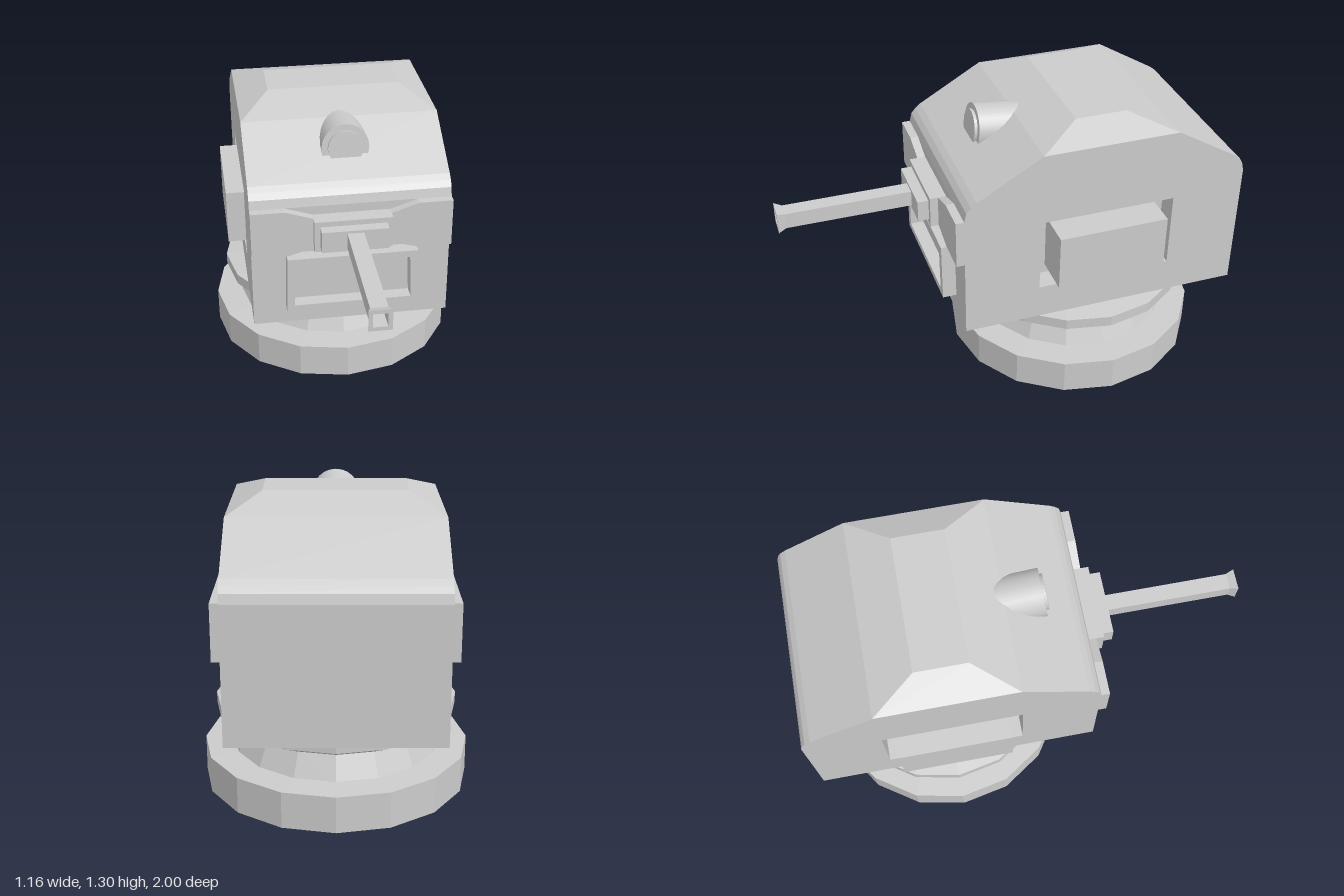
import * as THREE from 'three';

const material = new THREE.MeshStandardMaterial({ color: 0xcccccc, flatShading: true });
const smooth = new THREE.MeshStandardMaterial({ color: 0xcccccc });
const points = (list) => list.map(([x, y]) => new THREE.Vector2(x, y));

export function createModel() {
  const model = new THREE.Group();
  model.name = 'turret';

  const add = (name, geometry, mat = material) => {
    const mesh = new THREE.Mesh(geometry, mat);
    mesh.name = name;
    model.add(mesh);
    return mesh;
  };
  // Box given by its lower and upper limits
  const box = (x0, x1, y0, y1, z0, z1) =>
    new THREE.BoxGeometry(x1 - x0, y1 - y0, z1 - z0)
      .translate((x0 + x1) / 2, (y0 + y1) / 2, (z0 + z1) / 2);
  const extrude = (outline, depth, hole) => {
    const shape = new THREE.Shape(points(outline));
    if (hole) shape.holes.push(new THREE.Path(points(hole)));
    return new THREE.ExtrudeGeometry(shape, { depth, bevelEnabled: false });
  };

  // Sixteen-sided pedestal: foot, neck and flared collar
  add('pedestal', new THREE.LatheGeometry(points([
    [0, 0], [0.58, 0], [0.58, 0.16], [0.455, 0.165], [0.41, 0.265],
    [0.525, 0.325], [0.525, 0.375], [0.38, 0.395], [0.38, 0.41],
  ]), 16).translate(0, 0, -0.375));

  // Housing: side profile (z, y) with a window, extruded across the width
  add('housing', extrude([
    [0.285, 0.4], [0.285, 0.985], [0.275, 1.025], [0.255, 1.05], [0.23, 1.07],
    [-0.06, 1.237], [-0.67, 1.237],
    [-0.95, 1.07], [-0.975, 1.05], [-0.99, 1.025], [-1, 0.985], [-1, 0.4],
  ], 0.88, [[-0.055, 0.56], [-0.67, 0.56], [-0.67, 0.905], [-0.055, 0.905]])
    .rotateY(-Math.PI / 2).translate(0.44, 0, 0));

  // Roof: box whose top corners are drawn in
  const roof = box(-0.44, 0.44, 1.237, 1.303, -0.67, -0.06);
  const p = roof.attributes.position;
  for (let i = 0; i < p.count; i++) {
    if (p.getY(i) < 1.27) continue;
    p.setX(i, Math.sign(p.getX(i)) * 0.3);
    p.setZ(i, p.getZ(i) > -0.3 ? -0.25 : -0.48);
  }
  roof.computeVertexNormals();
  add('roof', roof);

  // Recess floor and side pods set in the windows
  add('recessFloor', box(-0.34, 0.34, 0.55, 0.915, -0.68, -0.045));
  for (const side of [-1, 1]) {
    add(side > 0 ? 'leftPod' : 'rightPod',
      box(-0.1, 0.1, 0.603, 0.86, -0.61, -0.115).translate(side * 0.42, 0, 0));
  }

  // Front plate, waisted in the middle
  add('frontPlate', extrude([
    [-0.44, 0.765], [-0.29, 0.765], [-0.17, 0.8], [0.17, 0.8], [0.29, 0.765], [0.44, 0.765],
    [0.44, 0.985], [0.29, 0.985], [0.17, 0.945], [-0.17, 0.945], [-0.29, 0.985], [-0.44, 0.985],
  ], 0.06).translate(0, 0, 0.262));

  // Lower frame around a sunken panel
  add('lowerFrame', extrude(
    [[-0.295, 0.495], [0.295, 0.495], [0.288, 0.762], [-0.288, 0.762]], 0.067,
    [[-0.26, 0.525], [-0.252, 0.73], [0.252, 0.73], [0.26, 0.525]],
  ).translate(0, 0, 0.28));

  // Stepped gun mount
  add('gunMountBase', box(-0.17, 0.17, 0.8, 0.945, 0.27, 0.358));
  add('gunMount', box(-0.145, 0.145, 0.823, 0.921, 0.3, 0.407));

  // Square barrel with flared muzzle and hollow bore
  const root2 = Math.SQRT2;
  add('barrel', new THREE.LatheGeometry(points([
    [0.036, 0.38], [0.036, 0.965], [0.048, 1], [0.03, 1], [0.03, 0.88], [0, 0.88],
  ].map(([r, z]) => [r * root2, z])), 4, Math.PI / 4)
    .rotateX(Math.PI / 2).translate(0, 0.873, 0));

  // Sight: tilted tube half sunk in the sloped roof, with a raised lens
  const sight = new THREE.Group();
  sight.name = 'sight';
  sight.position.set(0, 1.168, 0.112);
  sight.rotation.x = -0.11;
  const disc = (name, radius, back, front) => {
    const geometry = new THREE.CylinderGeometry(radius, radius, front - back, 24)
      .rotateX(Math.PI / 2).translate(0, 0, (back + front) / 2);
    const mesh = new THREE.Mesh(geometry, smooth);
    mesh.name = name;
    sight.add(mesh);
  };
  disc('sightTube', 0.105, -0.3, 0);
  disc('sightLens', 0.078, -0.02, 0.013);
  model.add(sight);

  return model;
}
